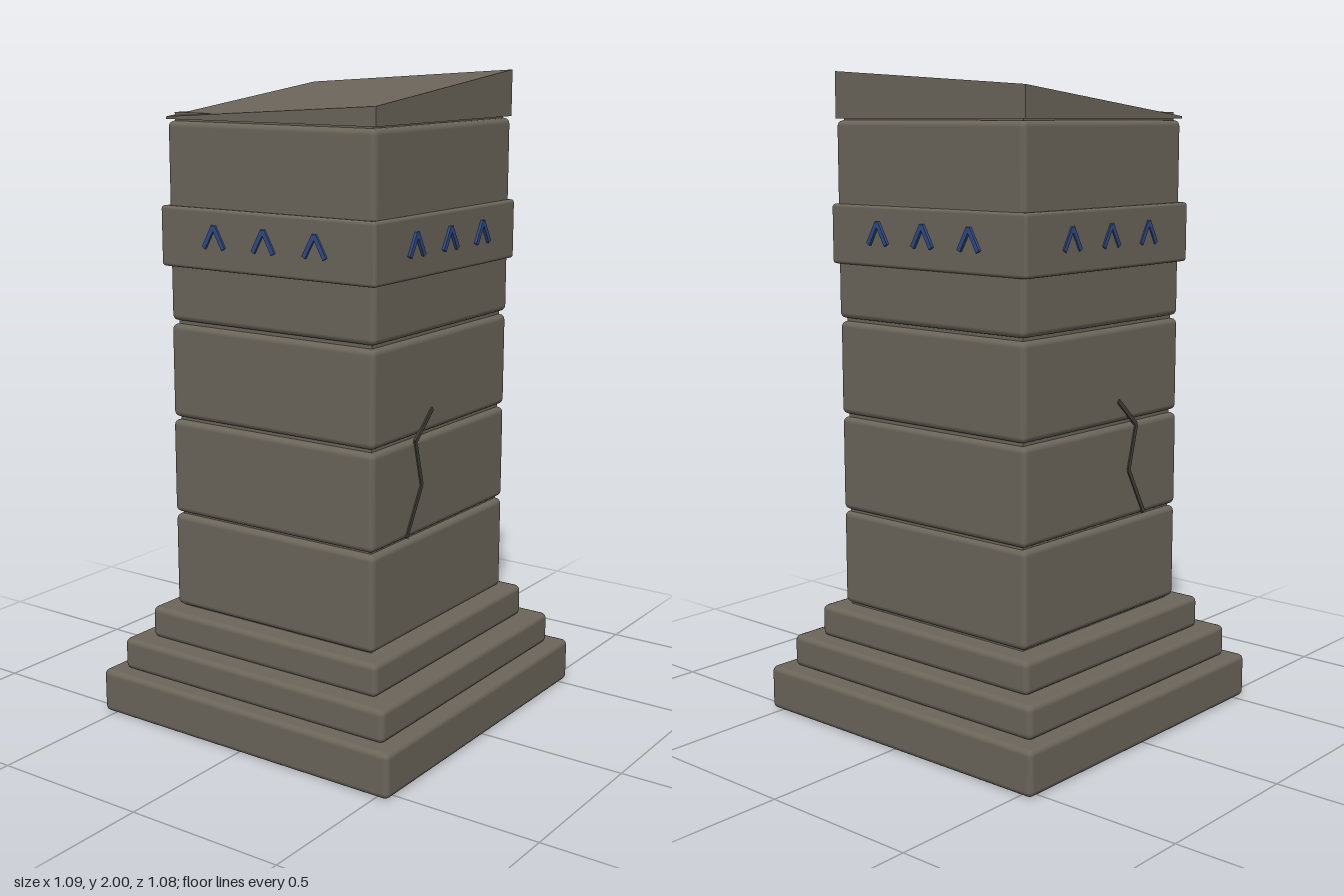
import * as THREE from 'three';
import { RoundedBoxGeometry } from 'three/addons/geometries/RoundedBoxGeometry.js';

export function createModel() {
  const model = new THREE.Group();
  model.name = 'stonePillar';

  const material = (name, color) => {
    const m = new THREE.MeshStandardMaterial({ color });
    m.name = name;
    return m;
  };
  const stone = material('stone', 0x6b655a);
  const crackStone = material('crackStone', 0x45413a);
  const blue = material('bluePaint', 0x2f4a85);

  const add = (parent, name, geometry, mat) => {
    const mesh = new THREE.Mesh(geometry, mat);
    mesh.name = name;
    parent.add(mesh);
    return mesh;
  };

  // Worn-edged slab given by its limits on each axis
  const slab = (name, x0, x1, y0, y1, z0, z1, r) => {
    const g = new RoundedBoxGeometry(x1 - x0, y1 - y0, z1 - z0, 2, r);
    add(model, name, g, stone).position.set((x0 + x1) / 2, (y0 + y1) / 2, (z0 + z1) / 2);
  };

  // Stepped base
  slab('baseStepLow', -0.544, 0.541, 0, 0.14, -0.542, 0.541, 0.018);
  slab('baseStepMiddle', -0.495, 0.485, 0.138, 0.24, -0.493, 0.491, 0.018);
  slab('baseStepTop', -0.43, 0.426, 0.238, 0.34, -0.43, 0.422, 0.018);

  // Shaft blocks, slightly uneven, with a recessed core behind the joints
  slab('shaftBlock1', -0.376, 0.369, 0.345, 0.643, -0.373, 0.375, 0.018);
  slab('shaftBlock2', -0.376, 0.371, 0.65, 0.945, -0.374, 0.374, 0.018);
  slab('shaftBlock3', -0.375, 0.373, 0.955, 1.245, -0.373, 0.373, 0.018);
  slab('shaftBlock4', -0.371, 0.376, 1.255, 1.855, -0.375, 0.373, 0.018);
  add(model, 'jointCore', new THREE.BoxGeometry(0.71, 1.58, 0.71), stone).position.y = 1.09;

  // Decorated band
  slab('band', -0.389, 0.385, 1.423, 1.605, -0.391, 0.387, 0.01);

  // Broken sloping cap: top corners dropped to different heights
  const cap = new THREE.BoxGeometry(0.742, 0.14, 0.75);
  cap.translate(0, 1.93, 0);
  const p = cap.attributes.position;
  for (let i = 0; i < p.count; i++) {
    if (p.getY(i) < 1.93) continue;
    p.setY(i, 2 - (p.getX(i) < 0 ? 0.085 : 0) - (p.getZ(i) < 0 ? 0.048 : 0));
  }
  cap.computeVertexNormals();
  add(model, 'brokenCap', cap, stone);

  // Straight bar between two points of the xy plane
  const stroke = (parent, name, [ax, ay], [bx, by], width, depth, mat) => {
    const dx = bx - ax, dy = by - ay;
    const bar = add(parent, name, new THREE.BoxGeometry(Math.hypot(dx, dy), width, depth), mat);
    bar.position.set((ax + bx) / 2, (ay + by) / 2, 0);
    bar.rotation.z = Math.atan2(dy, dx);
    return bar;
  };

  // Jagged crack on front and back
  const crack = [[-0.065, 1.022], [-0.156, 0.938], [-0.12, 0.8], [-0.2, 0.655]];
  for (const z of [0.374, -0.374]) {
    const group = new THREE.Group();
    group.name = z > 0 ? 'frontCrack' : 'backCrack';
    group.position.z = z;
    for (let i = 0; i < 3; i++) stroke(group, 'crackSegment', crack[i], crack[i + 1], 0.013, 0.008, crackStone);
    model.add(group);
  }

  // Three painted chevrons on each side of the band
  for (let side = 0; side < 4; side++) {
    const face = new THREE.Group();
    face.name = 'chevronRow';
    face.rotation.y = side * Math.PI / 2;
    for (const x of [-0.183, 0, 0.183]) {
      const chevron = new THREE.Group();
      chevron.name = 'chevron';
      chevron.position.set(x, 0, 0.391);
      for (const s of [-1, 1]) stroke(chevron, 'chevronStroke', [s * 0.037, 1.49], [0, 1.556], 0.014, 0.009, blue);
      face.add(chevron);
    }
    model.add(face);
  }

  return model;
}
